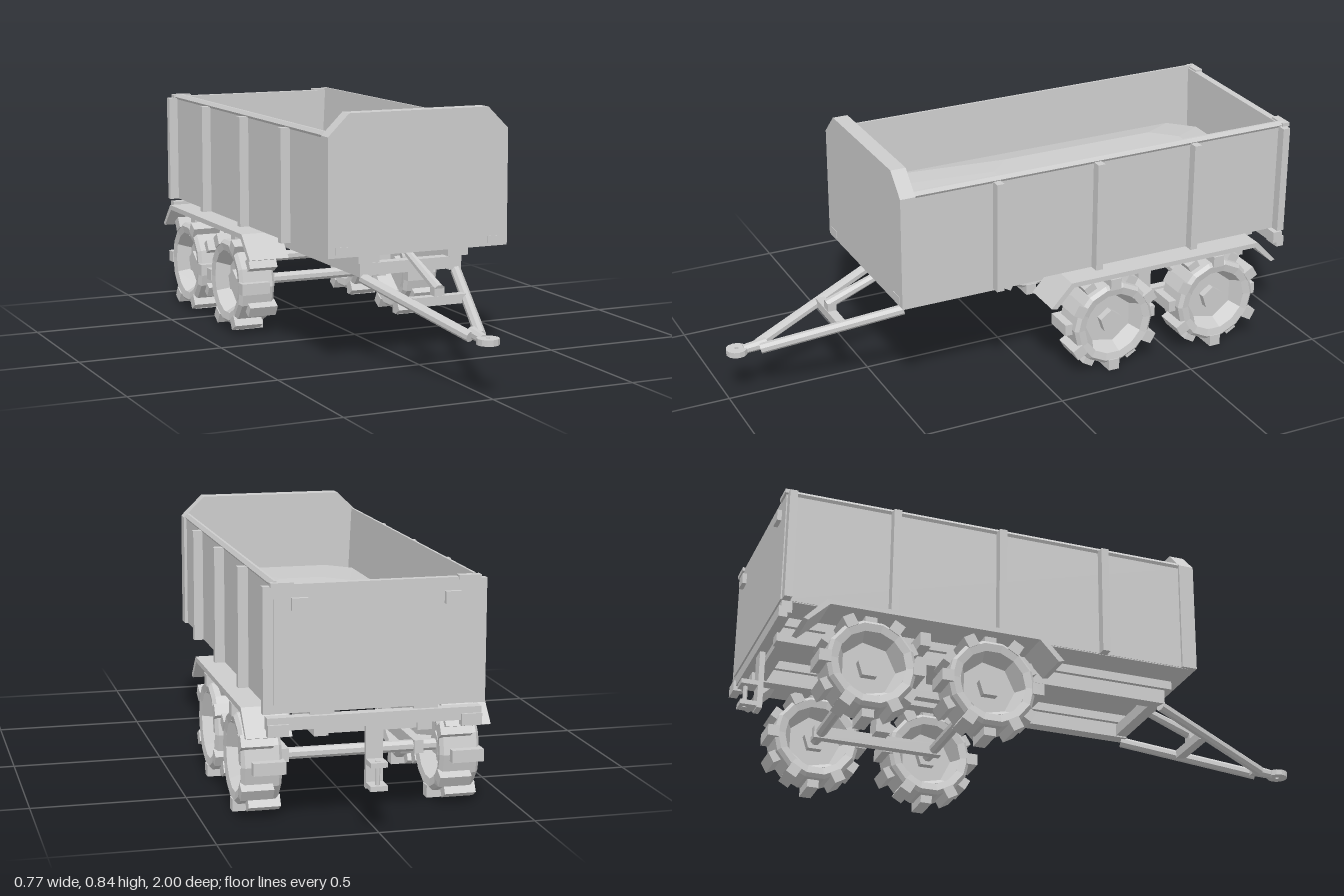
import * as THREE from 'three';

const paint = new THREE.MeshStandardMaterial({ color: 0xcccccc, flatShading: true, side: THREE.DoubleSide });
paint.name = 'plain grey';

function add(parent, name, geo) {
  const m = new THREE.Mesh(geo, paint);
  m.name = name;
  parent.add(m);
  return m;
}

// Box given by its lower and upper limits on each axis
function box(parent, name, x0, x1, y0, y1, z0, z1) {
  const m = add(parent, name, new THREE.BoxGeometry(x1 - x0, y1 - y0, z1 - z0));
  m.position.set((x0 + x1) / 2, (y0 + y1) / 2, (z0 + z1) / 2);
  return m;
}

// The same box on both sides of the centre line
function pair(parent, name, x0, x1, ...rest) {
  box(parent, name + 'Left', x0, x1, ...rest);
  box(parent, name + 'Right', -x1, -x0, ...rest);
}

// Eight-sided bar between two points
function bar(parent, name, a, b, ra, rb) {
  const p = new THREE.Vector3(...a), q = new THREE.Vector3(...b);
  const geo = new THREE.CylinderGeometry(rb, ra, p.distanceTo(q), 8);
  geo.rotateY(Math.PI / 8).rotateX(Math.PI / 2);
  const m = add(parent, name, geo);
  m.position.copy(p).add(q).multiplyScalar(0.5);
  m.lookAt(q);
  return m;
}

function polygon(points) {
  return new THREE.Shape(points.map(([x, y]) => new THREE.Vector2(x, y)));
}

function extrude(shape, depth) {
  return new THREE.ExtrudeGeometry(shape, { depth, bevelEnabled: false, curveSegments: 6 });
}

// Octagonal ring: half width, z limits, corner cut, height
function ring(hx, z0, z1, c, y) {
  return [[hx, z0 + c], [hx, z1 - c], [hx - c, z1], [c - hx, z1],
    [-hx, z1 - c], [-hx, z0 + c], [c - hx, z0], [hx - c, z0]].map(([x, z]) => [x, y, z]);
}

// Mound of cargo: steep edge, then a gentle slope to a flat top
function loadGeometry() {
  const rings = [ring(0.29, -0.92, 0.43, 0.004, 0.49),
    ring(0.268, -0.905, 0.385, 0.08, 0.58), ring(0.15, -0.76, -0.02, 0.08, 0.612)];
  const idx = [];
  for (let r = 0; r < 2; r++) {
    for (let i = 0; i < 8; i++) {
      const a = r * 8 + i, b = r * 8 + (i + 1) % 8;
      idx.push(a, a + 8, b, b, a + 8, b + 8);
    }
  }
  for (let i = 1; i < 7; i++) idx.push(16, 16 + i, 16 + i + 1);
  // The rings run clockwise from above, so turn every face outward
  idx.reverse();
  const g = new THREE.BufferGeometry();
  g.setAttribute('position', new THREE.Float32BufferAttribute(rings.flat(2), 3));
  g.setIndex(idx);
  g.computeVertexNormals();
  return g;
}

function buildBody(root) {
  const body = new THREE.Group();
  body.name = 'body';
  root.add(body);
  box(body, 'floor', -0.312, 0.312, 0.375, 0.4, -0.94, 0.47);

  // Side walls, tapered inside, with a bevelled lip at the rim
  for (const s of [1, -1]) {
    const profile = polygon([[0.314, 0.378], [0.314, 0.757], [0.32, 0.766], [0.311, 0.778], [0.303, 0.778],
      [0.287, 0.45], [0.287, 0.378]].map(([x, y]) => [x * s, y]));
    const wall = add(body, s > 0 ? 'sideWallLeft' : 'sideWallRight', extrude(profile, 1.395));
    wall.position.z = -0.945;
  }
  for (const z of [0.155, -0.215, -0.585, -0.938]) {
    pair(body, 'sideRib', 0.31, 0.347, 0.376, 0.762, z - 0.013, z + 0.013);
  }
  box(body, 'tailgate', -0.314, 0.314, 0.378, 0.768, -0.955, -0.93);
  pair(body, 'tailgateHinge', 0.212, 0.262, 0.69, 0.728, -0.97, -0.953);
  pair(body, 'tailgateLatch', 0.255, 0.325, 0.76, 0.774, -0.962, -0.935);

  // Headboard with cut top corners
  const shape = polygon([[-0.324, 0.376], [0.324, 0.376], [0.324, 0.765],
    [0.25, 0.838], [-0.25, 0.838], [-0.324, 0.765]]);
  add(body, 'headboard', extrude(shape, 0.053)).position.z = 0.445;
  pair(body, 'frontMarker', 0.252, 0.3, 0.386, 0.41, 0.496, 0.5);
  add(body, 'load', loadGeometry());
}

function buildChassis(root) {
  const chassis = new THREE.Group();
  chassis.name = 'chassis';
  root.add(chassis);
  pair(chassis, 'rail', 0.14, 0.185, 0.295, 0.355, -0.93, 0.44);
  pair(chassis, 'railFlange', 0.125, 0.2, 0.345, 0.376, -0.94, 0.46);
  for (const z of [0.42, 0, -0.46, -0.9]) {
    box(chassis, 'crossmember', -0.16, 0.16, 0.3, 0.34, z - 0.02, z + 0.02);
  }
  box(chassis, 'rearBeam', -0.335, 0.335, 0.325, 0.365, -0.955, -0.92);
  pair(chassis, 'rearLamp', 0.27, 0.335, 0.308, 0.345, -0.963, -0.935);

  // Rear hitch: post and clevis
  box(chassis, 'rearHitchPost', -0.027, 0.027, 0.125, 0.34, -0.945, -0.927);
  for (const y of [0.13, 0.203]) box(chassis, 'rearHitchJaw', -0.027, 0.027, y, y + 0.016, -1, -0.935);
  bar(chassis, 'rearHitchPin', [0, 0.127, -0.98], [0, 0.221, -0.98], 0.008, 0.008);

  // Fenders with sloped ends
  const fender = polygon([[0.015, 0.29], [0.09, 0.37], [0.82, 0.37], [0.895, 0.29],
    [0.88, 0.285], [0.81, 0.353], [0.1, 0.353], [0.035, 0.285]]);
  for (const s of [1, -1]) {
    const m = add(chassis, s > 0 ? 'fenderLeft' : 'fenderRight', extrude(fender, 0.144));
    m.rotation.y = Math.PI / 2;
    m.position.x = s > 0 ? 0.243 : -0.387;
  }
  pair(chassis, 'fenderBracket', 0.18, 0.3, 0.306, 0.356, -0.483, -0.447);

  // Bogie
  pair(chassis, 'bogieHanger', 0.156, 0.228, 0.185, 0.3, -0.487, -0.437);
  pair(chassis, 'bogieBeam', 0.205, 0.235, 0.152, 0.195, -0.69, -0.235);
}

function buildDrawbar(root) {
  const drawbar = new THREE.Group();
  drawbar.name = 'drawbar';
  root.add(drawbar);
  for (const s of [1, -1]) {
    bar(drawbar, s > 0 ? 'armLeft' : 'armRight', [s * 0.17, 0.29, 0.43], [s * 0.018, 0.174, 0.885], 0.018, 0.018);
  }
  box(drawbar, 'crossbar', -0.095, 0.095, 0.226, 0.256, 0.612, 0.644);
  bar(drawbar, 'strut', [0, 0.358, 0.42], [0, 0.275, 0.64], 0.014, 0.019);
  box(drawbar, 'strutFoot', -0.018, 0.018, 0.25, 0.285, 0.612, 0.642);
  bar(drawbar, 'tongue', [0, 0.182, 0.86], [0, 0.175, 0.94], 0.02, 0.016);
  const eye = new THREE.Shape().absarc(0, 0, 0.036, 0, Math.PI * 2);
  eye.holes.push(new THREE.Path().absarc(0, 0, 0.007, 0, Math.PI * 2, true));
  const m = add(drawbar, 'towEye', extrude(eye, 0.02));
  m.rotation.x = -Math.PI / 2;
  m.position.set(0, 0.165, 0.964);
}

// Wheel turned about its own y axis
function buildWheel() {
  const wheel = new THREE.Group();
  const lathe = (name, pts, n) => add(wheel, name,
    new THREE.LatheGeometry(pts.map(([r, y]) => new THREE.Vector2(r, y)), n));
  lathe('tyre', [[0.112, -0.06], [0.138, -0.065], [0.15, -0.054], [0.15, 0.054],
    [0.138, 0.065], [0.112, 0.06]], 14);
  lathe('rimInner', [[0.122, -0.06], [0.092, -0.012], [0.001, -0.012]], 7);
  lathe('rimOuter', [[0.001, 0.012], [0.092, 0.012], [0.122, 0.06]], 7);
  add(wheel, 'hub', new THREE.CylinderGeometry(0.041, 0.041, 0.075, 5)).rotation.y = Math.PI / 2;
  // Lugs alternate between the two edges of the tread
  for (let i = 0; i < 12; i++) {
    const a = i * Math.PI / 6;
    const lug = add(wheel, 'lug', new THREE.BoxGeometry(0.04, 0.103, 0.04));
    lug.position.set(Math.sin(a) * 0.154, i % 2 ? -0.017 : 0.017, Math.cos(a) * 0.154);
    lug.rotation.y = a;
  }
  return wheel;
}

export function createModel() {
  const root = new THREE.Group();
  root.name = 'trailer';
  buildBody(root);
  buildChassis(root);
  buildDrawbar(root);
  for (const z of [-0.26, -0.665]) {
    bar(root, 'axle', [-0.3, 0.173, z], [0.3, 0.173, z], 0.019, 0.019);
    for (const s of [1, -1]) {
      const w = buildWheel();
      w.name = s > 0 ? 'wheelLeft' : 'wheelRight';
      w.rotation.z = Math.PI / 2;
      w.position.set(s * 0.318, 0.175, z);
      root.add(w);
    }
  }
  return root;
}
